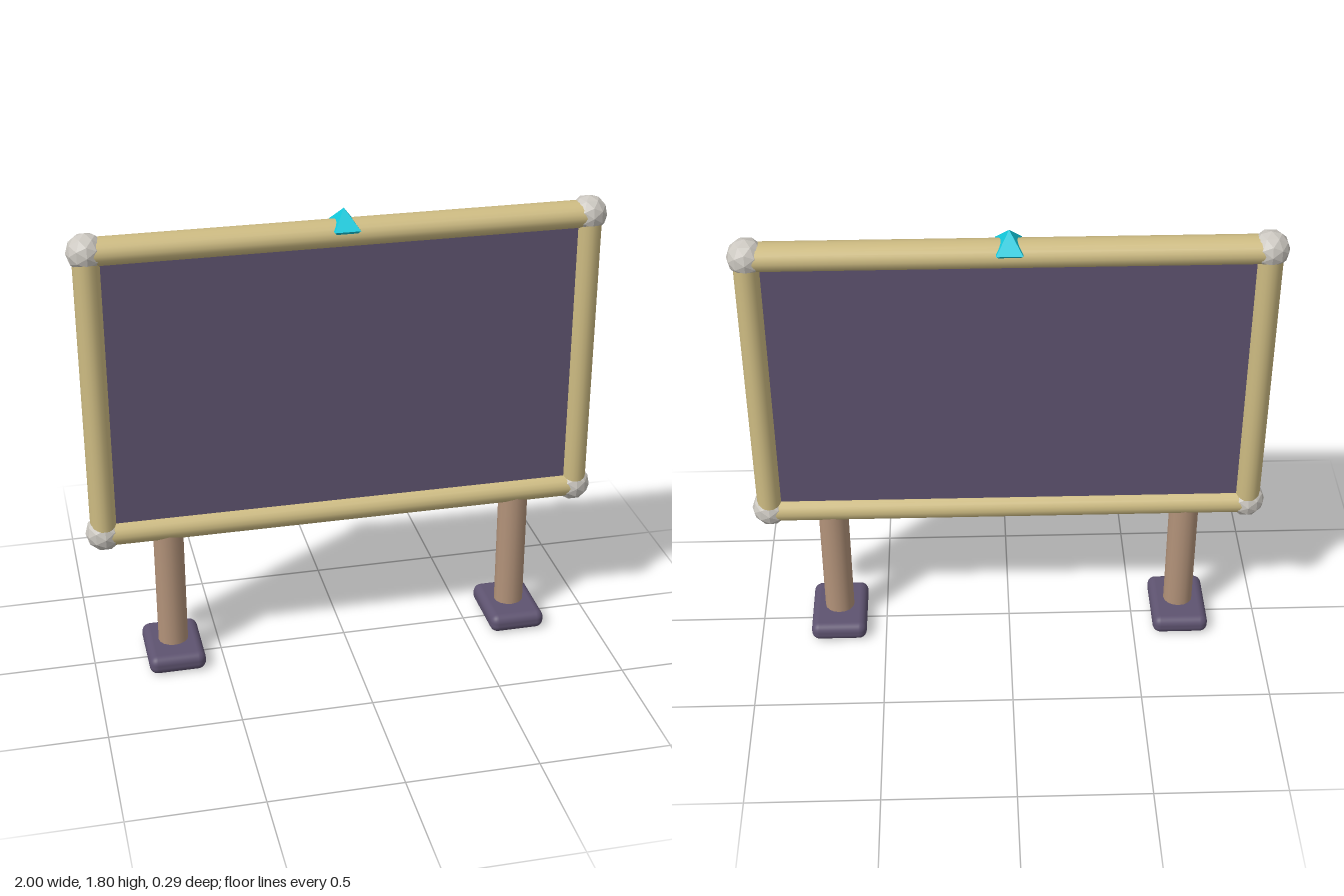
import * as THREE from 'three';
import { RoundedBoxGeometry } from 'three/addons/geometries/RoundedBoxGeometry.js';

function material(name, color, flatShading = false) {
  const m = new THREE.MeshStandardMaterial({ color, flatShading });
  m.name = name;
  return m;
}

export function createModel() {
  const model = new THREE.Group();
  model.name = 'signBoard';
  const tan = material('tan frame', 0xcdbb82);
  const purple = material('dark purple', 0x5e5370);
  const brown = material('brown post', 0xb3937a);
  const grey = material('pale grey', 0xcbc7c0, true);
  const cyan = material('cyan gem', 0x12c9dc, true);

  const add = (name, geometry, mat, x, y, z = 0) => {
    const mesh = new THREE.Mesh(geometry, mat);
    mesh.name = name;
    mesh.position.set(x, y, z);
    model.add(mesh);
    return mesh;
  };

  const X = 0.93, LOW = 0.583, HIGH = 1.71, MID = (LOW + HIGH) / 2;

  // Board panel
  add('panel', new THREE.BoxGeometry(2 * X, HIGH - LOW, 0.054), purple, 0, MID);

  // Oval frame rails, slightly deeper than they are wide
  const rail = (length) => new THREE.CylinderGeometry(0.051, 0.051, length, 20).scale(1, 1, 1.22);
  for (const [name, y] of [['topRail', HIGH], ['bottomRail', LOW]]) {
    add(name, rail(2 * X).rotateZ(Math.PI / 2), tan, 0, y);
  }

  for (const [side, s] of [['left', 1], ['right', -1]]) {
    add(side + 'Rail', rail(HIGH - LOW), tan, s * X, MID);

    // Faceted corner knobs
    for (const [level, y] of [['Top', HIGH], ['Bottom', LOW]]) {
      add(side + level + 'Knob', new THREE.IcosahedronGeometry(0.071, 1), grey, s * X, y);
    }

    // Post and rounded foot
    const post = new THREE.CylinderGeometry(0.058, 0.058, 0.54, 16).scale(1, 1, 0.93);
    add(side + 'Post', post, brown, s * 0.688, 0.29);
    add(side + 'Foot', new RoundedBoxGeometry(0.22, 0.075, 0.294, 4, 0.032), purple, s * 0.688, 0.0375);
  }

  // Gem set into the top rail
  const gem = new THREE.OctahedronGeometry(1).rotateY(Math.PI / 4).scale(0.068, 0.068, 0.102);
  add('gem', gem, cyan, 0, 1.735);

  return model;
}
